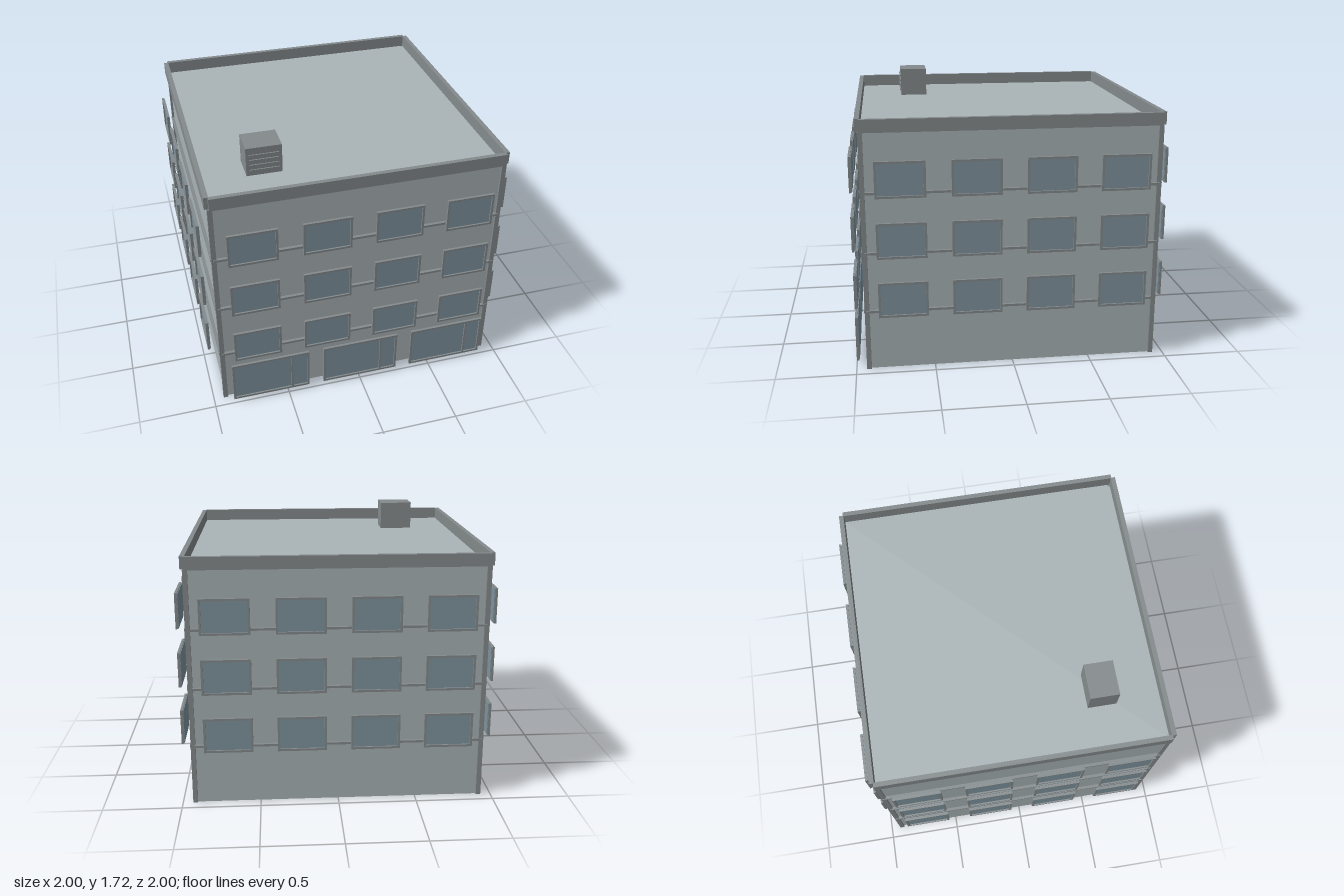
import * as THREE from 'three';

const mat = (color) => new THREE.MeshStandardMaterial({ color });

export function createModel() {
  const wall = mat(0xaab4b7), trim = mat(0x858b8d), glass = mat(0x8094a0);
  const model = new THREE.Group();
  model.name = 'officeBuilding';

  // box given by its centre and size
  const box = (parent, name, m, [x, y, z], [w, h, d]) => {
    const mesh = new THREE.Mesh(new THREE.BoxGeometry(w, h, d), m);
    mesh.position.set(x, y, z);
    mesh.name = name;
    parent.add(mesh);
    return mesh;
  };

  // framed pane facing +z, optionally split by a mullion
  const addWindow = (parent, name, x, y, w, h, mullion) => {
    const g = new THREE.Group();
    g.name = name;
    g.position.set(x, y, 0.992);
    const t = 0.014, d = 0.016;
    const s = new THREE.Shape();
    s.moveTo(-w / 2, -h / 2).lineTo(w / 2, -h / 2).lineTo(w / 2, h / 2).lineTo(-w / 2, h / 2).closePath();
    const hole = new THREE.Path(), a = w / 2 - t, b = h / 2 - t;
    hole.moveTo(-a, -b).lineTo(-a, b).lineTo(a, b).lineTo(a, -b).closePath();
    s.holes.push(hole);
    const frame = new THREE.Mesh(new THREE.ExtrudeGeometry(s, { depth: d, bevelEnabled: false }), trim);
    frame.position.z = -d / 2;
    frame.name = 'windowFrame';
    g.add(frame);
    box(g, 'windowPane', glass, [0, 0, -0.007], [w - 0.012, h - 0.012, 0.01]);
    if (mullion !== undefined) box(g, 'mullion', trim, [mullion, 0, 0], [0.012, h - 2 * t, d]);
    parent.add(g);
  };

  // main block with flat roof
  const H = 1.53, storey = H / 4;
  box(model, 'walls', wall, [0, H / 2, 0], [1.84, H, 1.84]);

  // corner pillars
  for (const x of [-0.92, 0.92])
    for (const z of [-0.92, 0.92]) box(model, 'cornerPillar', trim, [x, H / 2, z], [0.03, H, 0.03]);

  // four identical facades: parapet, floor bands and upper windows
  ['front', 'left', 'back', 'right'].forEach((side, i) => {
    const facade = new THREE.Group();
    facade.name = side + 'Facade';
    facade.rotation.y = (i * Math.PI) / 2;
    box(facade, 'parapet', trim, [0, 1.57, 0.935], [1.85, 0.08, 0.03]);
    for (let floor = 1; floor < 4; floor++) {
      const y = floor * storey;
      box(facade, 'floorBand', trim, [0, y + 0.008, 0.929], [1.85, 0.015, 0.022]);
      for (let c = 0; c < 4; c++) addWindow(facade, 'window', (c - 1.5) * 0.4613, y + 0.105, 0.308, 0.227);
    }
    // shop fronts on the ground floor
    if (i === 0)
      for (const x of [-0.615, 0, 0.615]) addWindow(facade, 'shopFront', x, 0.18, 0.515, 0.295, 0.142);
    model.add(facade);
  });

  // rooftop ventilation unit with louvres
  const unit = new THREE.Group();
  unit.name = 'roofUnit';
  box(unit, 'unitBody', trim, [-0.533, 1.625, 0.547], [0.225, 0.19, 0.185]);
  for (let k = 0; k < 4; k++)
    box(unit, 'louvre', trim, [-0.533, 1.567 + k * 0.0345, 0.642], [0.185, 0.01, 0.01]);
  model.add(unit);

  return model;
}
